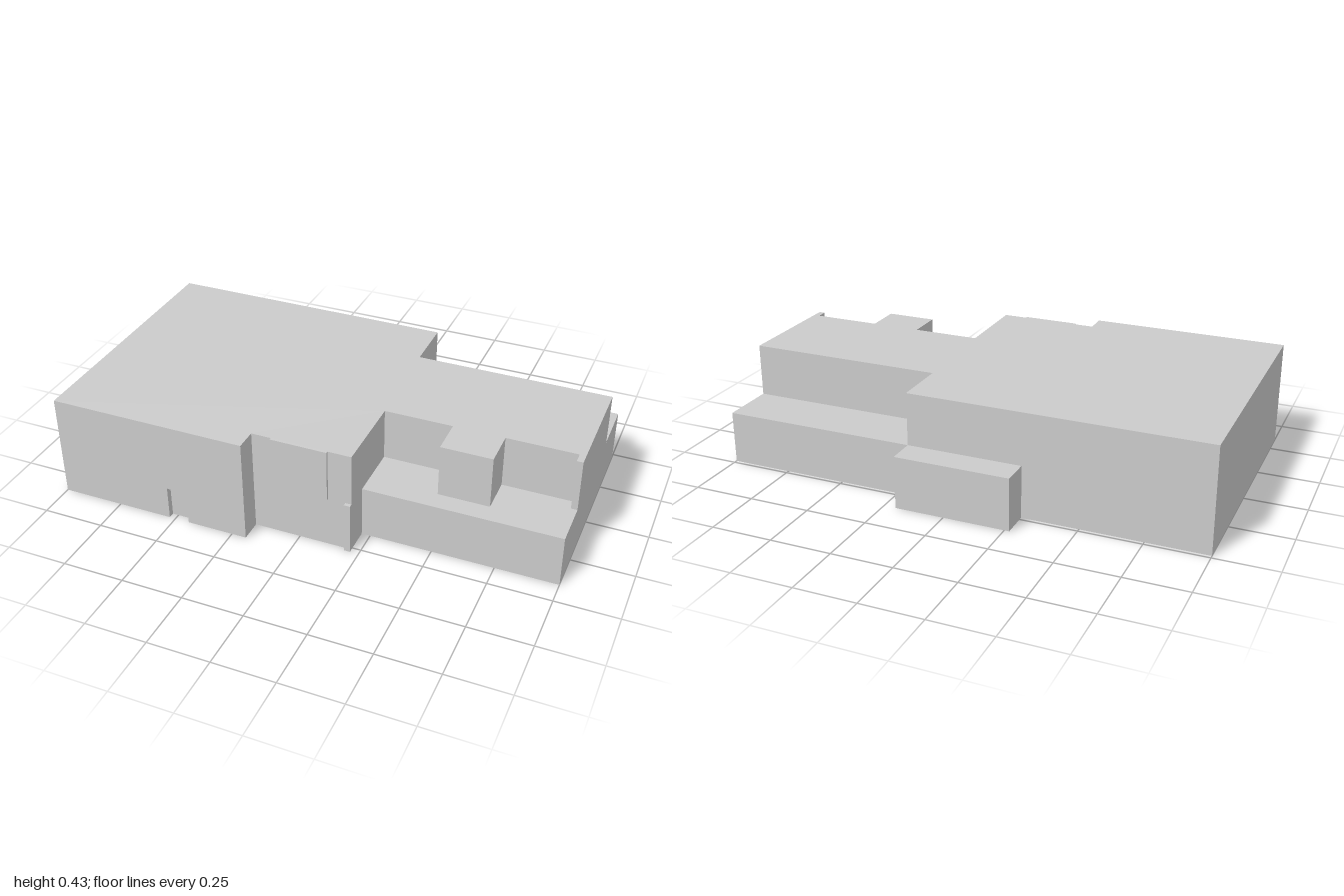
import * as THREE from 'three';

const material = new THREE.MeshStandardMaterial({ color: 0xcccccc, flatShading: true });

// Raise a plan outline of [x, z] corners from y0 to y1
function storey(name, outline, y0, y1) {
  const shape = new THREE.Shape(outline.map(([x, z]) => new THREE.Vector2(x, -z)));
  const geometry = new THREE.ExtrudeGeometry(shape, { depth: y1 - y0, bevelEnabled: false });
  geometry.rotateX(-Math.PI / 2).translate(0, y0, 0);
  const mesh = new THREE.Mesh(geometry, material);
  mesh.name = name;
  return mesh;
}

// Box given by its limits on each axis
function block(name, [x0, x1], [y0, y1], [z0, z1]) {
  const geometry = new THREE.BoxGeometry(x1 - x0, y1 - y0, z1 - z0);
  geometry.translate((x0 + x1) / 2, (y0 + y1) / 2, (z0 + z1) / 2);
  const mesh = new THREE.Mesh(geometry, material);
  mesh.name = name;
  return mesh;
}

export function createModel() {
  const group = new THREE.Group();
  group.name = 'building';
  const mid = 0.215, top = 0.43;
  const back = -0.485, front = 0.6, door = 0.575;

  // Ground floor with rear annex, front terrace, doorway and corner pier
  group.add(storey('groundFloor', [
    [-1, front], [-0.525, front], [-0.525, door], [-0.44, door], [-0.44, front], [-0.19, front],
    [-0.19, 0.51], [0.19, 0.51], [0.19, 0.525], [0.215, 0.525],
    [0.215, 0.405], [1, 0.405], [1, back],
    [0.2, back], [0.2, -0.6], [-0.27, -0.6], [-0.27, back], [-1, back],
  ], 0, mid));

  // Wall above the doorway
  group.add(block('doorLintel', [-0.525, -0.44], [0.14, mid], [door, front]));

  // Upper floor, set back over the terrace, with a bay and an end pier
  group.add(storey('upperFloor', [
    [-1, front], [-0.19, front], [-0.19, 0.51],
    [-0.11, 0.51], [-0.11, 0.52], [0.12, 0.52], [0.12, 0.51], [0.215, 0.51],
    [0.215, 0.175], [0.49, 0.175], [0.49, 0.325], [0.695, 0.325], [0.695, 0.175],
    [0.975, 0.175], [0.975, 0.22], [1, 0.22],
    [1, -0.26], [0.2, -0.26], [0.2, back], [-1, back],
  ], mid, top));

  return group;
}
